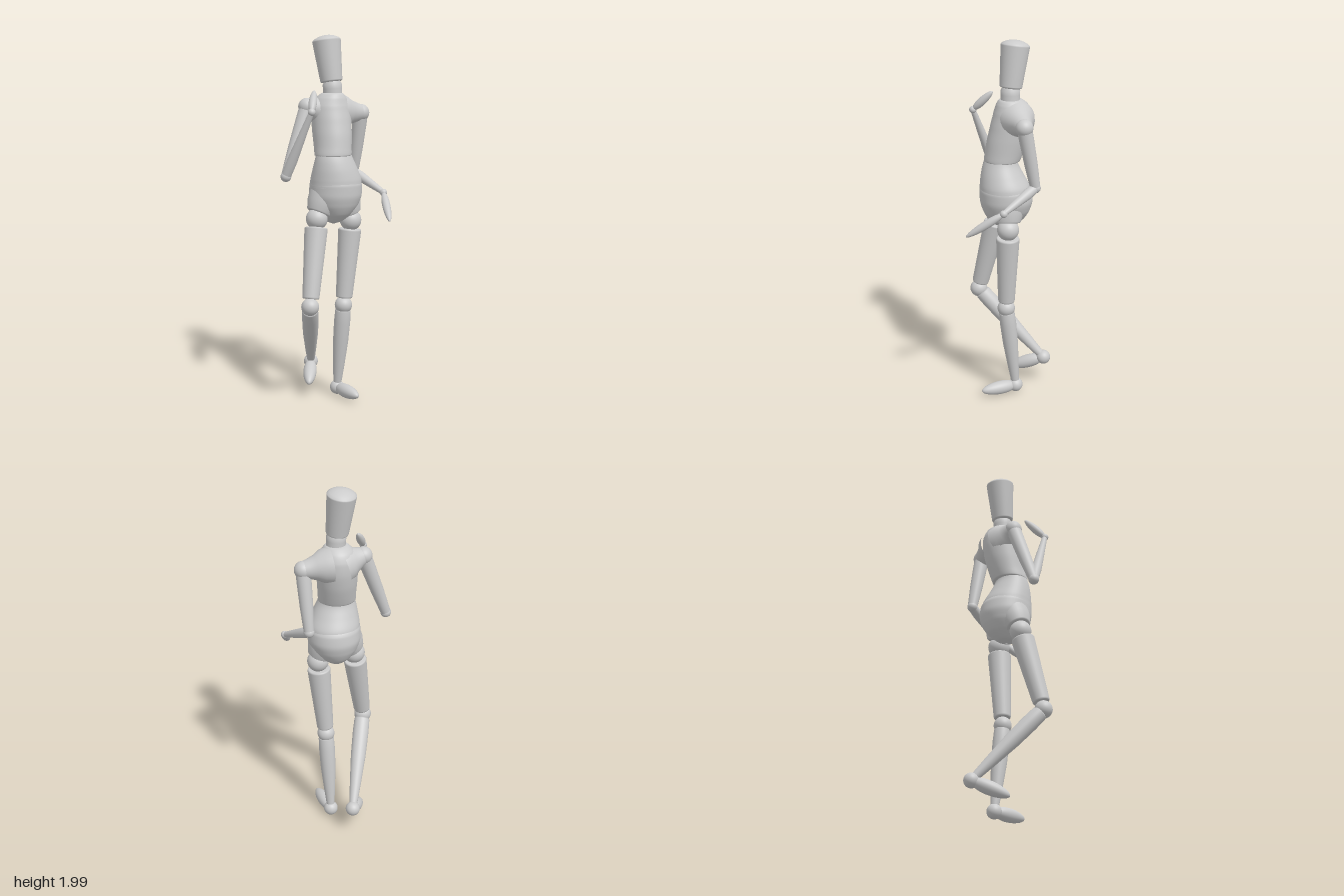
import * as THREE from 'three';

const material = new THREE.MeshStandardMaterial({ color: 0xcccccc, roughness: 0.8 });
const UP = new THREE.Vector3(0, 1, 0);
const v = (p) => new THREE.Vector3(...p);

// Smooth vertical body from ellipse sections [y, centreX, centreZ, radiusX, radiusZ], bottom to top
function loft(name, sections, steps = 6, sides = 48) {
  const centres = new THREE.CatmullRomCurve3(sections.map((s) => new THREE.Vector3(s[1], s[0], s[2])));
  const radii = new THREE.CatmullRomCurve3(sections.map((s) => new THREE.Vector3(s[3], 0, s[4])));
  const rings = (sections.length - 1) * steps;
  const positions = [], index = [];
  for (let i = 0; i <= rings; i++) {
    const c = centres.getPoint(i / rings), r = radii.getPoint(i / rings);
    for (let j = 0; j < sides; j++) {
      const a = (j / sides) * Math.PI * 2;
      positions.push(c.x + Math.cos(a) * r.x, c.y, c.z + Math.sin(a) * r.z);
      if (i === rings) continue;
      const k = i * sides + j, n = i * sides + ((j + 1) % sides);
      index.push(k, k + sides, n, n, k + sides, n + sides);
    }
  }
  const g = new THREE.BufferGeometry();
  g.setAttribute('position', new THREE.Float32BufferAttribute(positions, 3));
  g.setIndex(index);
  g.computeVertexNormals();
  const mesh = new THREE.Mesh(g, material);
  mesh.name = name;
  return mesh;
}

// Turned part between two points; profile is [fraction along the axis, radius]
function turned(name, from, to, profile) {
  const a = v(from), axis = v(to).sub(a), length = axis.length();
  const g = new THREE.LatheGeometry(profile.map(([t, r]) => new THREE.Vector2(r, t * length)), 32);
  const mesh = new THREE.Mesh(g, material);
  mesh.position.copy(a);
  mesh.quaternion.setFromUnitVectors(UP, axis.normalize());
  mesh.name = name;
  return mesh;
}

function ball(name, at, r) {
  const mesh = new THREE.Mesh(new THREE.SphereGeometry(r, 32, 20), material);
  mesh.position.set(...at);
  mesh.name = name;
  return mesh;
}

// Long egg shape for hands and feet, slightly fuller towards the joint
function paddle(name, from, to, r) {
  const profile = [];
  for (let i = 0; i <= 20; i++) {
    const a = (i / 20) * Math.PI;
    profile.push([(1 - Math.cos(a)) / 2, r * Math.sin(a) * (1 + 0.12 * Math.cos(a))]);
  }
  return turned(name, from, to, profile);
}

// Straight cylinder-like profile with narrow bevels at both ends
const peg = (t0, r0, t1, r1) => [
  [t0, 0], [t0, r0 * 0.88], [t0 + 0.004, r0 * 0.96], [t0 + 0.02, r0],
  [t1 - 0.02, r1], [t1 - 0.004, r1 * 0.96], [t1, r1 * 0.88], [t1, 0],
];

function arm(side, { shoulder, elbow, wrist, tip, chest }) {
  const g = new THREE.Group();
  g.name = side + 'Arm';
  g.add(
    // yoke flares from the shoulder ball into the chest
    turned('shoulderYoke', chest, shoulder, [[0, 0.1], [0.3, 0.088], [0.55, 0.066], [0.8, 0.053], [1, 0.045]]),
    ball('shoulderJoint', shoulder, 0.047),
    turned('upperArm', shoulder, elbow, [[0, 0.04], [0.2, 0.039], [0.6, 0.035], [1, 0.027]]),
    ball('elbowJoint', elbow, 0.029),
    turned('forearm', elbow, wrist, [[0, 0.026], [0.25, 0.028], [0.65, 0.021], [1, 0.014]]),
    ball('wristJoint', wrist, 0.02),
    paddle('hand', wrist, tip, 0.022),
  );
  return g;
}

function leg(side, { hip, knee, ankle, tip }) {
  const g = new THREE.Group();
  g.name = side + 'Leg';
  g.add(
    // socket between pelvis and hip ball
    turned('hipSocket', [0.02 + (hip[0] - 0.02) * 0.5, 1.14, 0.005], hip,
      [[0, 0.092], [0.35, 0.086], [0.72, 0.07], [0.76, 0.062], [0.76, 0]]),
    ball('hipJoint', hip, 0.059),
    turned('thigh', hip, knee, peg(0.1, 0.063, 0.91, 0.046)),
    ball('kneeJoint', knee, 0.048),
    turned('shin', knee, ankle, [[0.05, 0], [0.05, 0.038], [0.065, 0.043], [0.2, 0.045], [0.45, 0.042], [0.75, 0.031], [1, 0.02]]),
    ball('ankleJoint', ankle, 0.04),
    paddle('foot', ankle, tip, 0.037),
  );
  return g;
}

export function createModel() {
  const model = new THREE.Group();
  model.name = 'jointedFigure';

  // Trunk: pelvis, waist and chest
  model.add(
    loft('pelvis', [
      [0.985, 0.01, 0, 0.005, 0.005], [1.0, 0.012, 0, 0.045, 0.05], [1.04, 0.017, 0, 0.09, 0.1],
      [1.09, 0.02, 0, 0.126, 0.128], [1.15, 0.022, 0.001, 0.144, 0.142], [1.2, 0.022, 0.005, 0.143, 0.14],
      [1.225, 0.02, 0.008, 0.132, 0.128], [1.23, 0.02, 0.008, 0.01, 0.01],
    ]),
    loft('waist', [
      [1.19, 0.022, 0.006, 0.143, 0.138], [1.23, 0.02, 0.01, 0.139, 0.132], [1.29, 0.01, 0.021, 0.122, 0.112],
      [1.35, 0.001, 0.026, 0.102, 0.09], [1.41, 0, 0.015, 0.085, 0.075],
    ]),
    loft('chest', [
      [1.355, 0, 0.018, 0.02, 0.02], [1.36, 0, 0.018, 0.1, 0.096], [1.41, 0.004, 0.005, 0.102, 0.104],
      [1.48, 0.008, -0.012, 0.106, 0.11], [1.55, 0.011, -0.027, 0.108, 0.109], [1.62, 0.012, -0.036, 0.105, 0.1],
      [1.665, 0.013, -0.033, 0.083, 0.084], [1.69, 0.015, -0.025, 0.057, 0.06], [1.7, 0.016, -0.022, 0.005, 0.005],
    ]),
  );

  // Neck and flat-topped tapered head
  model.add(
    turned('neck', [0.018, 1.67, -0.022], [0.014, 1.76, -0.024], [[0, 0.052], [0.5, 0.051], [0.75, 0.052], [1, 0.04]]),
    turned('head', [0.012, 1.75, -0.026], [-0.004, 1.973, -0.056], [
      [0, 0], [0, 0.052], [0.015, 0.058], [0.04, 0.06], [0.97, 0.077], [1, 0.076],
      [1.04, 0.064], [1.08, 0.045], [1.105, 0.023], [1.112, 0],
    ]),
  );

  // Limbs in a relaxed, crossed-leg pose
  model.add(
    arm('left', {
      chest: [0.055, 1.59, -0.045], shoulder: [0.2, 1.58, -0.045],
      elbow: [0.19, 1.25, -0.11], wrist: [0.273, 1.15, 0.086], tip: [0.21, 1.02, 0.272],
    }),
    arm('right', {
      chest: [-0.02, 1.59, -0.045], shoulder: [-0.125, 1.62, -0.045],
      elbow: [-0.266, 1.255, -0.01], wrist: [-0.18, 1.6, 0.13], tip: [-0.12, 1.707, 0.036],
    }),
    leg('left', {
      hip: [0.108, 1.0, 0.015], knee: [0.066, 0.528, 0.013],
      ankle: [0.056, 0.045, -0.045], tip: [0.082, 0.042, 0.158],
    }),
    leg('right', {
      hip: [-0.098, 1.02, 0.018], knee: [-0.18, 0.56, 0.105],
      ankle: [-0.018, 0.157, -0.232], tip: [-0.112, 0.08, -0.06],
    }),
  );
  return model;
}
